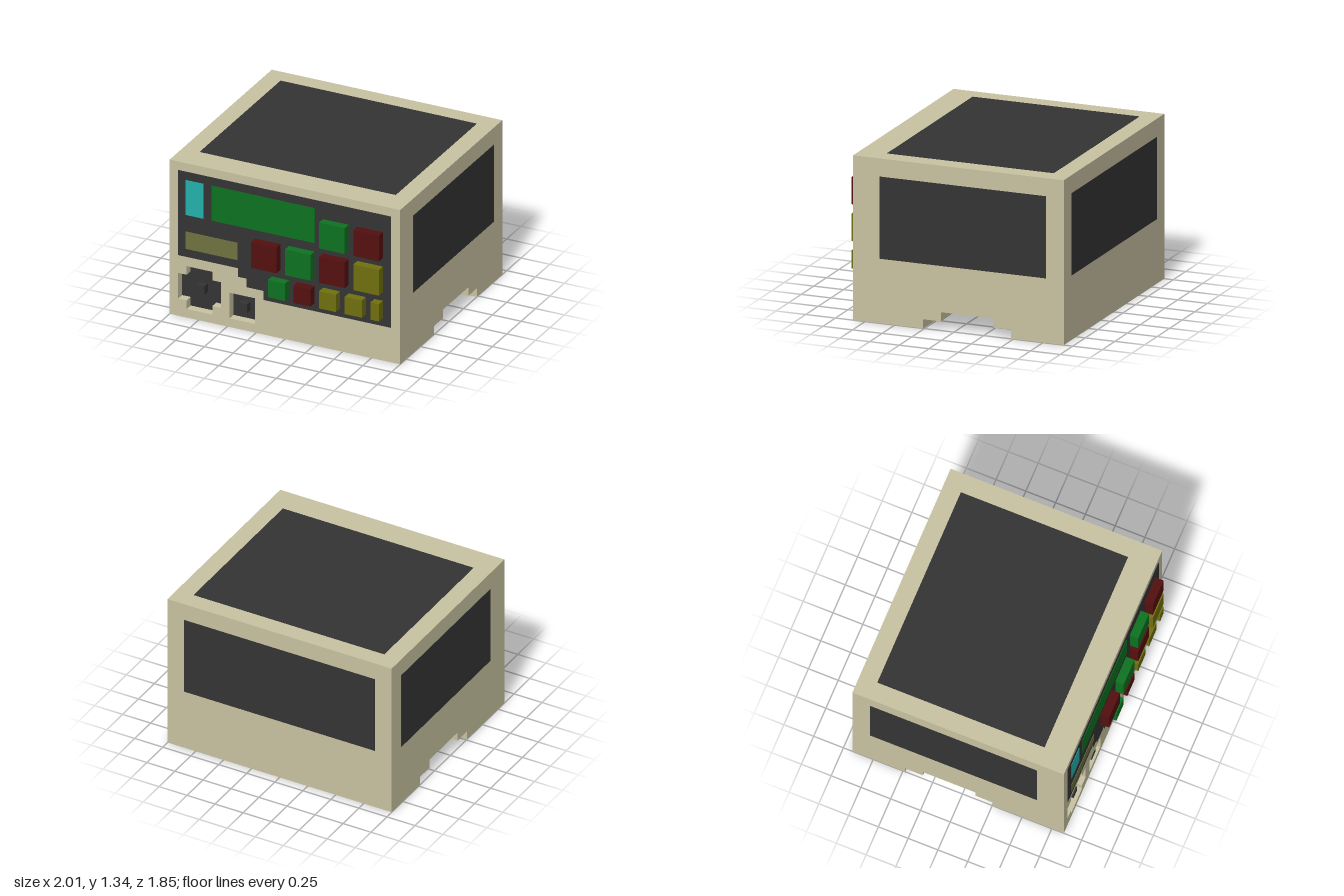
import * as THREE from 'three';

const mat = (name, color) => new THREE.MeshStandardMaterial({ name, color });

export function createModel() {
  const group = new THREE.Group();
  group.name = 'controlConsole';
  const beige = mat('beigeCasing', 0xc9c3a2);
  const dark = mat('darkPanel', 0x343434);
  const green = mat('green', 0x0d7320);
  const red = mat('red', 0x550f0f);
  const yellow = mat('yellow', 0x70700f);
  const cyan = mat('cyan', 0x24b0ab);
  const olive = mat('olive', 0x6f7240);

  const FRONT = 0.851, BACK = -0.925, RECESS = 0.777, TOP = 1.333;

  const add = (name, geometry, material) => {
    const mesh = new THREE.Mesh(geometry, material);
    mesh.name = name;
    group.add(mesh);
    return mesh;
  };
  // box given by its minimum and maximum on each axis
  const box = (name, material, x0, x1, y0, y1, z0, z1) => {
    const g = new THREE.BoxGeometry(x1 - x0, y1 - y0, z1 - z0);
    g.translate((x0 + x1) / 2, (y0 + y1) / 2, (z0 + z1) / 2);
    return add(name, g, material);
  };
  const points = (list) => list.map(([x, y]) => new THREE.Vector2(x, y));
  const extrude = (shape, depth) => new THREE.ExtrudeGeometry(shape, { depth, bevelEnabled: false });

  // casing with the stepped tunnel underneath; profile is (-z, y), swept along x
  const profile = new THREE.Shape(points([
    [-RECESS, 0], [-0.26, 0], [-0.26, 0.074], [-0.111, 0.074], [-0.111, 0.148],
    [0.333, 0.148], [0.333, 0.074], [0.481, 0.074], [0.481, 0], [-BACK, 0],
    [-BACK, TOP], [-RECESS, TOP],
  ]));
  const casing = extrude(profile, 2);
  casing.rotateY(Math.PI / 2).translate(-1, 0, 0);
  add('casing', casing, beige);

  // front wall with a cross-shaped and a square socket
  const cross = points([
    [-0.852, 0.074], [-0.63, 0.074], [-0.63, 0.148], [-0.556, 0.148], [-0.556, 0.37], [-0.63, 0.37],
    [-0.63, 0.444], [-0.852, 0.444], [-0.852, 0.37], [-0.926, 0.37], [-0.926, 0.148], [-0.852, 0.148],
  ]);
  const square = points([[-0.481, 0.074], [-0.259, 0.074], [-0.259, 0.296], [-0.481, 0.296]]);
  const wall = new THREE.Shape(points([[-1, 0], [1, 0], [1, TOP], [-1, TOP]]));
  wall.holes.push(new THREE.Path(cross), new THREE.Path(square));
  const wallGeometry = extrude(wall, FRONT - RECESS);
  wallGeometry.translate(0, 0, RECESS);
  add('frontWall', wallGeometry, beige);

  // dark socket floors, each with a small stick
  for (const [name, outline, x, y] of [
    ['crossSocket', cross, -0.741, 0.259], ['squareSocket', square, -0.37, 0.185],
  ]) {
    const floor = extrude(new THREE.Shape(outline), 0.004);
    floor.translate(0, 0, RECESS);
    add(name + 'Floor', floor, dark);
    box(name + 'Stick', dark, x - 0.037, x + 0.037, y - 0.037, y + 0.037, RECESS, FRONT - 0.01);
  }

  // stepped front panel
  const panel = extrude(new THREE.Shape(points([
    [-0.926, 0.526], [-0.407, 0.526], [-0.407, 0.452], [-0.333, 0.452], [-0.333, 0.378],
    [-0.185, 0.378], [-0.185, 0.3], [0.922, 0.3], [0.922, 1.26], [-0.926, 1.26],
  ])), 0.004);
  panel.translate(0, 0, FRONT);
  add('frontPanel', panel, dark);

  // flat displays
  for (const [name, m, x0, x1, y0, y1] of [
    ['smallDisplay', cyan, -0.858, -0.704, 0.889, 1.19],
    ['mainDisplay', green, -0.634, 0.262, 0.889, 1.19],
    ['statusStrip', olive, -0.858, -0.408, 0.596, 0.745],
  ]) box(name, m, x0, x1, y0, y1, FRONT, FRONT + 0.008);

  // raised buttons, row by row
  const rows = [
    { y0: 0.889, y1: 1.111, keys: [[green, 0.333, 0.555], [red, 0.63, 0.852]] },
    { y0: 0.593, y1: 0.815, keys: [[red, -0.259, -0.037], [green, 0.037, 0.259], [red, 0.333, 0.555], [yellow, 0.63, 0.852]] },
    { y0: 0.37, y1: 0.519, keys: [[green, -0.111, 0.037], [red, 0.111, 0.259], [yellow, 0.333, 0.478], [yellow, 0.555, 0.704], [yellow, 0.778, 0.852]] },
  ];
  for (const { y0, y1, keys } of rows) {
    for (const [m, x0, x1] of keys) box(m.name + 'Button', m, x0, x1, y0, y1, FRONT, 0.925);
  }

  // dark panels on the top, sides and back
  const t = 0.003;
  box('topPanel', dark, -0.85, 0.85, TOP - t, TOP + t, -0.777, 0.627);
  box('leftPanel', dark, 1 - t, 1 + t, 0.523, 1.187, -0.777, 0.627);
  box('rightPanel', dark, -1 - t, -1 + t, 0.523, 1.187, -0.777, 0.627);
  box('backPanel', dark, -0.85, 0.85, 0.523, 1.187, BACK - t, BACK + t);

  return group;
}
